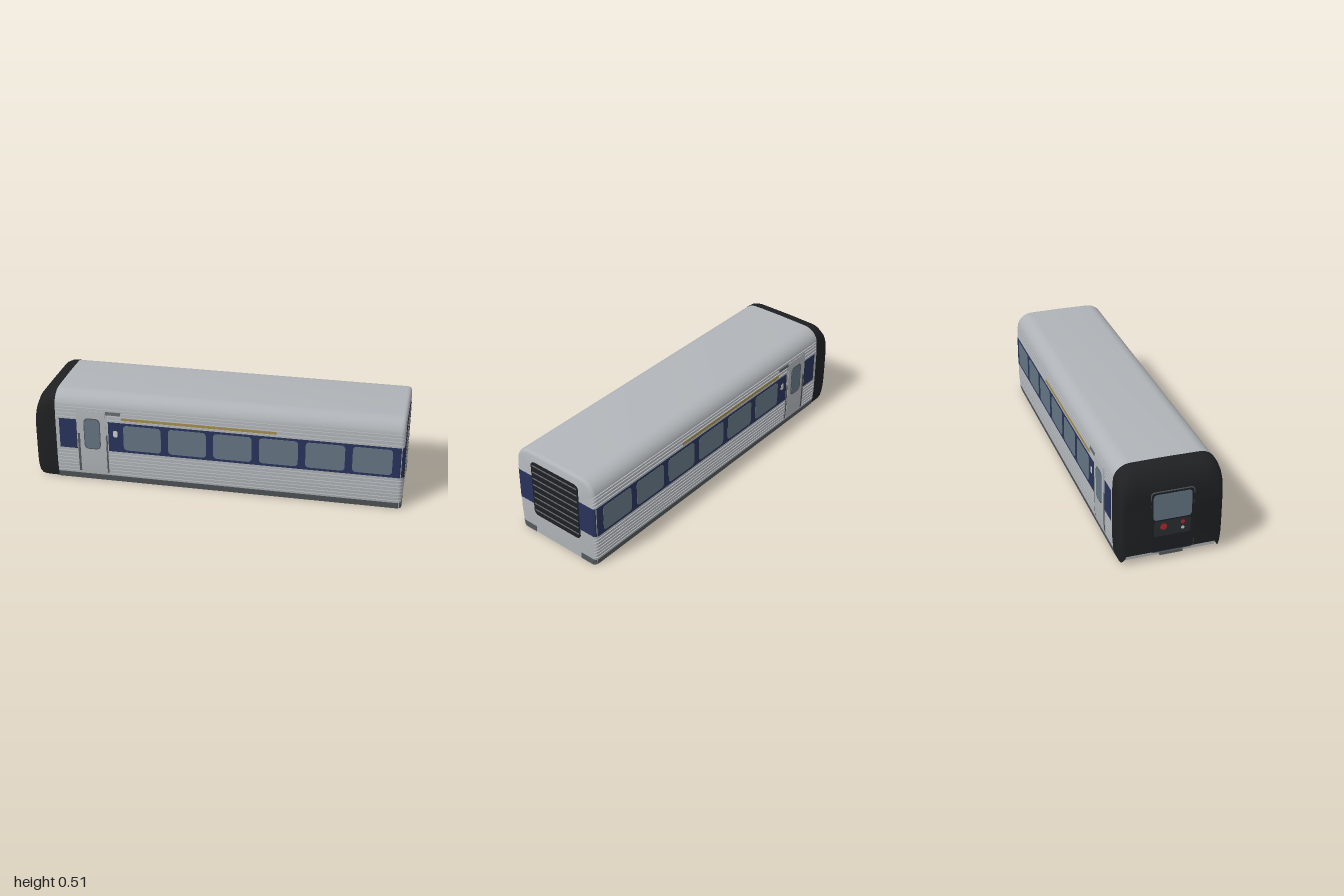
import * as THREE from 'three';
import { toCreasedNormals } from 'three/addons/utils/BufferGeometryUtils.js';

const mat = (color) => new THREE.MeshStandardMaterial({ color, side: THREE.DoubleSide });
const M = {
  body: mat(0xb0b4b8), nose: mat(0x1e2022), blue: mat(0x28335a), glass: mat(0x647582),
  dark: mat(0x54595d), grille: mat(0x1d2024), slat: mat(0x62696d), gold: mat(0xa08a4c),
  red: mat(0xb02a2a), lamp: mat(0xd8d8d8), black: mat(0x2b2e31),
};

const add = (parent, name, geo, material, x = 0, y = 0, z = 0) => {
  const mesh = new THREE.Mesh(geo, material);
  mesh.name = name;
  mesh.position.set(x, y, z);
  parent.add(mesh);
  return mesh;
};

// Half width of the side wall at a height
const WALL = [[0, 0.254], [0.035, 0.261], [0.1, 0.266], [0.2, 0.267], [0.37, 0.267], [0.42, 0.264], [0.44, 0.262]];
function wallZ(y) {
  for (let i = 1; i < WALL.length; i++) {
    const [y0, z0] = WALL[i - 1], [y1, z1] = WALL[i];
    if (y <= y1) return z0 + (z1 - z0) * (y - y0) / (y1 - y0);
  }
  return 0.262;
}

// Cross-section as [z, y], from the +z foot over the roof to the -z foot
function section(grooves) {
  const half = WALL.map(([y, z]) => [z, y]);
  for (const y of grooves) {
    const a = y - 0.003, b = y + 0.003;
    half.push([wallZ(a), a], [wallZ(a) - 0.006, a + 1e-5], [wallZ(b) - 0.006, b - 1e-5], [wallZ(b), b]);
  }
  half.sort((p, q) => p[1] - q[1]);
  for (let i = 2; i <= 10; i++) {
    const a = i * Math.PI / 20;
    half.push([0.175 + 0.088 * Math.cos(a), 0.425 + 0.083 * Math.sin(a)]);
  }
  return [...half, [0, 0.51], ...half.slice().reverse().map(([z, y]) => [-z, y])];
}

// Skin through stations [x, top, bottom, widthScale]; caps close the first and last
function loft(profile, stations, capStart, capEnd, crease = 0.6) {
  const pos = [], idx = [], n = profile.length;
  for (const [x, top, bottom, w] of stations)
    for (const [z, y] of profile) pos.push(x, bottom + y * (top - bottom) / 0.51, z * w);
  for (let i = 0; i < stations.length - 1; i++)
    for (let j = 0; j < n - 1; j++) {
      const a = i * n + j, b = a + n;
      idx.push(a, b, a + 1, b, b + 1, a + 1);
    }
  const cap = (i, flip) => {
    const c = pos.length / 3;
    pos.push(stations[i][0], 0.25, 0);
    for (let j = 0; j < n; j++) {
      const a = i * n + j, b = i * n + (j + 1) % n;
      idx.push(c, flip ? a : b, flip ? b : a);
    }
  };
  if (capStart) cap(0, true);
  if (capEnd) cap(stations.length - 1, false);
  const g = new THREE.BufferGeometry();
  g.setAttribute('position', new THREE.Float32BufferAttribute(pos, 3));
  g.setIndex(idx);
  return toCreasedNormals(g, crease);
}

// Rounded plate, centred, facing +z
function plate(w, h, r, d) {
  const s = new THREE.Shape(), x = w / 2, y = h / 2;
  s.moveTo(-x + r, -y);
  s.lineTo(x - r, -y).absarc(x - r, -y + r, r, -Math.PI / 2, 0);
  s.lineTo(x, y - r).absarc(x - r, y - r, r, 0, Math.PI / 2);
  s.lineTo(-x + r, y).absarc(-x + r, y - r, r, Math.PI / 2, Math.PI);
  s.lineTo(-x, -y + r).absarc(-x + r, -y + r, r, Math.PI, Math.PI * 1.5);
  return new THREE.ExtrudeGeometry(s, { depth: d, bevelEnabled: false, curveSegments: 6 }).translate(0, 0, -d / 2);
}

// Strip that runs along the +z side and wraps around the rear corner
function wrapStrip(x0, y0, y1, inner) {
  const pts = [[x0, 0.268], [0.976, 0.268], [0.991, 0.262], [0.998, 0.25], [0.998, 0.16], [0.985, 0.16], [0.985, inner], [x0, inner]];
  const s = new THREE.Shape(pts.map(([x, z]) => new THREE.Vector2(x, -z)));
  return new THREE.ExtrudeGeometry(s, { depth: y1 - y0, bevelEnabled: false }).rotateX(-Math.PI / 2).translate(0, y0, 0);
}

// Box that follows the curve of the wall
function wallPanel(x0, x1, y0, y1, proud) {
  const g = new THREE.BoxGeometry(x1 - x0, y1 - y0, 0.012, 1, 10, 1).translate((x0 + x1) / 2, (y0 + y1) / 2, 0);
  const p = g.attributes.position;
  for (let i = 0; i < p.count; i++) p.setZ(i, p.getZ(i) - 0.006 + wallZ(p.getY(i)) + proud);
  g.computeVertexNormals();
  return g;
}

function createSide() {
  const side = new THREE.Group();
  // Dark skirt, leaning in at the foot
  const skirt = wrapStrip(-0.88, 0, 0.035, 0.24);
  const p = skirt.attributes.position;
  for (let i = 0; i < p.count; i++)
    if (p.getZ(i) > 0.245) p.setZ(i, p.getZ(i) - (p.getY(i) < 0.01 ? 0.013 : 0.006));
  skirt.computeVertexNormals();
  add(side, 'skirt', skirt, M.dark);

  // Blue window band and passenger windows
  add(side, 'windowBand', wrapStrip(-0.585, 0.187, 0.36, 0.255), M.blue);
  add(side, 'cabBand', wallPanel(-0.86, -0.762, 0.187, 0.36, 0.001), M.blue);
  for (let i = 0; i < 6; i++)
    add(side, 'window', plate(0.207, 0.146, 0.02, 0.006), M.glass, -0.397 + i * 0.2465, 0.274, 0.2665);
  add(side, 'plainPlate', plate(0.024, 0.038, 0.008, 0.004), M.lamp, -0.545, 0.293, 0.2675);
  add(side, 'goldStripe', wallPanel(-0.51, 0.33, 0.375, 0.39, 0.002), M.gold);

  // Door with window, handrails and vent
  add(side, 'doorFrame', wallPanel(-0.762, -0.592, 0.04, 0.418, 0.0005), M.body);
  add(side, 'door', wallPanel(-0.742, -0.6, 0.04, 0.415, 0.003), M.body);
  add(side, 'doorWindowFrame', plate(0.092, 0.182, 0.026, 0.008), M.dark, -0.675, 0.282, 0.2675);
  add(side, 'doorWindow', plate(0.082, 0.17, 0.022, 0.008), M.glass, -0.675, 0.282, 0.2685);
  add(side, 'handrail', wallPanel(-0.757, -0.745, 0.05, 0.28, 0.002), M.dark);
  add(side, 'handrail', wallPanel(-0.598, -0.59, 0.05, 0.28, 0.002), M.dark);
  add(side, 'vent', wallPanel(-0.598, -0.515, 0.4, 0.418, 0.002), M.slat);
  return side;
}

export function createModel() {
  const model = new THREE.Group();
  model.name = 'railCar';

  // Ribbed body shell, open underneath
  const grooves = [0.375, 0.395, 0.415, 0.432];
  for (let i = 0; i < 7; i++) grooves.push(0.05 + i * 0.02);
  add(model, 'bodyShell', loft(section(grooves), [
    [-0.88, 0.51, 0, 1], [0.975, 0.51, 0, 1], [0.985, 0.508, 0, 0.992], [0.992, 0.503, 0, 0.972], [0.996, 0.493, 0, 0.94],
  ], false, true), M.body);

  // Rounded nose
  const smooth = section([]);
  add(model, 'nose', loft(smooth, [
    [-1, 0.36, 0.055, 0.92], [-0.998, 0.39, 0.04, 0.945], [-0.99, 0.425, 0.025, 0.975], [-0.975, 0.462, 0.01, 0.995],
    [-0.95, 0.492, 0.005, 1.002], [-0.92, 0.507, 0.004, 1.003], [-0.88, 0.511, 0.004, 1.003],
  ], true, false, 1), M.nose);

  // Inner lining
  add(model, 'lining', loft(smooth, [
    [-0.975, 0.42, 0.02, 0.92], [-0.95, 0.465, 0.01, 0.94], [-0.88, 0.495, 0, 0.94], [0.98, 0.495, 0, 0.94],
  ], true, true), M.body);
  add(model, 'innerCabPanel', new THREE.BoxGeometry(0.006, 0.26, 0.24), M.grille, -0.972, 0.23);

  // Both sides
  for (const s of [1, -1]) {
    const side = createSide();
    side.name = s > 0 ? 'frontSide' : 'backSide';
    side.scale.z = s;
    model.add(side);
  }

  // Rear grille
  const rear = new THREE.Group();
  rear.name = 'rearGrille';
  add(rear, 'grillePanel', plate(0.322, 0.335, 0.026, 0.006), M.grille, 0, 0.288, 0.996);
  for (let i = 0; i < 8; i++)
    add(rear, 'slat', new THREE.BoxGeometry(0.305, 0.007, 0.006), M.slat, 0, 0.152 + i * 0.04, 0.998);
  rear.rotation.y = Math.PI / 2;
  model.add(rear);

  // Cab front: door panel, windscreen, lamps and coupler hatch
  const cab = new THREE.Group();
  cab.name = 'cabFront';
  add(cab, 'cabFrame', plate(0.226, 0.346, 0.02, 0.008), M.dark, 0, 0.222, 0.996);
  add(cab, 'cabPanel', plate(0.216, 0.336, 0.018, 0.008), M.grille, 0, 0.222, 0.9965);
  add(cab, 'windscreen', plate(0.198, 0.145, 0.018, 0.008), M.glass, 0, 0.308, 0.997);
  add(cab, 'lampPanel', plate(0.19, 0.085, 0.012, 0.008), M.black, 0, 0.185, 0.997);
  for (const [z, y, r, m] of [[-0.045, 0.195, 0.018, M.red], [0.054, 0.205, 0.011, M.red], [0.054, 0.172, 0.009, M.lamp]])
    add(cab, 'lamp', new THREE.CylinderGeometry(r, r, 0.008, 20).rotateX(Math.PI / 2), m, z, y, 0.998);
  add(cab, 'couplerHatch', new THREE.BoxGeometry(0.12, 0.016, 0.02), M.dark, 0, 0.035, 0.986);
  cab.rotation.y = -Math.PI / 2;
  model.add(cab);
  return model;
}
